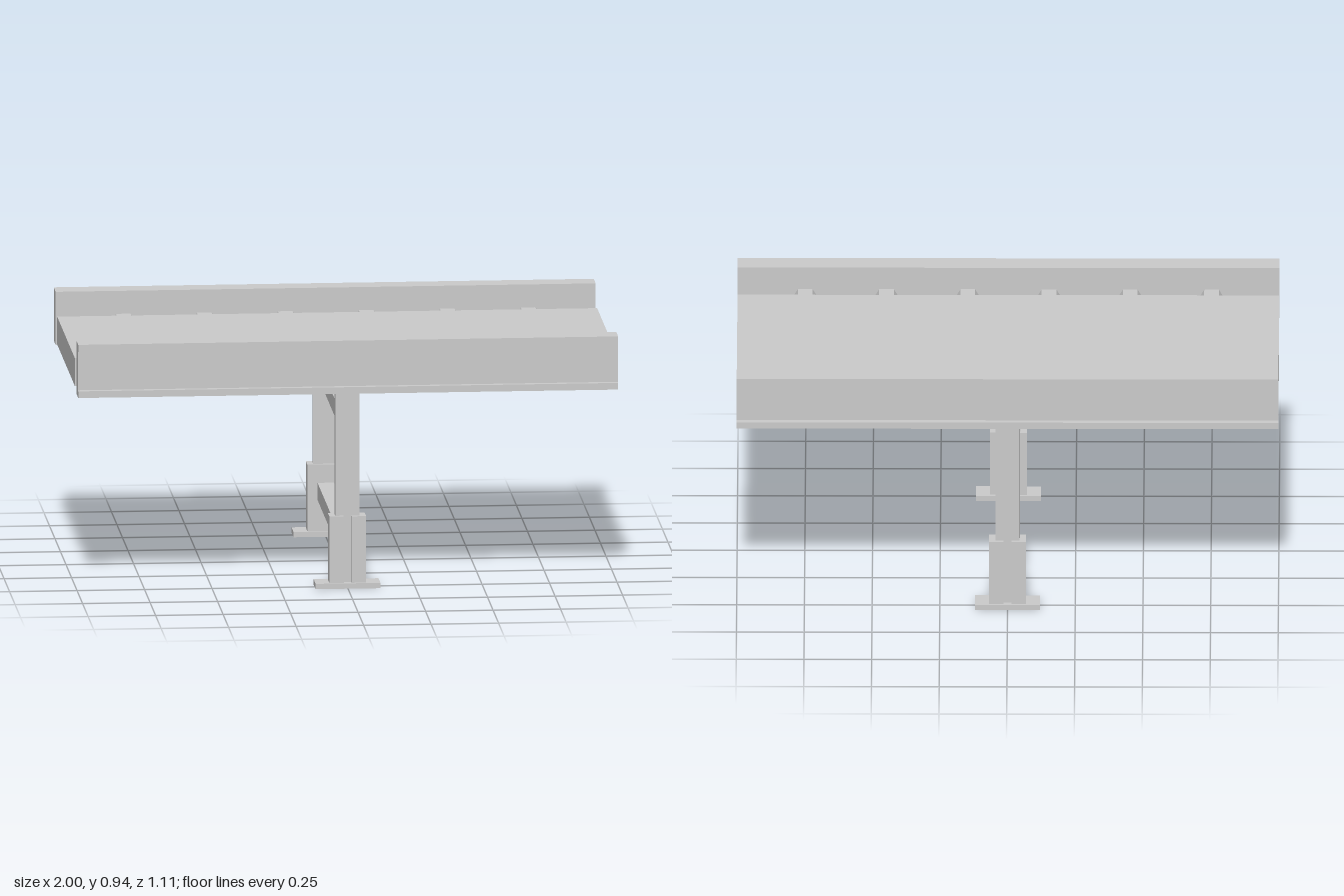
import * as THREE from 'three';

export function createModel() {
  const model = new THREE.Group();
  const material = new THREE.MeshStandardMaterial({ color: 0xcccccc, flatShading: true });

  function add(name, geometry, parent = model) {
    const mesh = new THREE.Mesh(geometry, material);
    mesh.name = name;
    parent.add(mesh);
    return mesh;
  }

  // Box given by its lower and upper corners
  function block(name, [x0, y0, z0], [x1, y1, z1], parent) {
    const mesh = add(name, new THREE.BoxGeometry(x1 - x0, y1 - y0, z1 - z0), parent);
    mesh.position.set((x0 + x1) / 2, (y0 + y1) / 2, (z0 + z1) / 2);
    return mesh;
  }

  function extrude(points, depth) {
    const shape = new THREE.Shape(points.map(([x, y]) => new THREE.Vector2(x, y)));
    return new THREE.ExtrudeGeometry(shape, { depth, bevelEnabled: false });
  }

  // Conveyor bed
  block('belt', [-1, 0.75, -0.4], [1, 0.855, 0.4]);

  // Hexagonal roller shafts running through the belt into the rails
  for (let i = 0; i < 6; i++) {
    const geometry = new THREE.CylinderGeometry(0.054, 0.054, 0.96, 6);
    geometry.rotateY(Math.PI / 6).rotateX(Math.PI / 2);
    // Keep two corners level so the top and bottom are flats
    const p = geometry.attributes.position;
    let top = 0;
    for (let k = 0; k < p.count; k++) top = Math.max(top, p.getY(k));
    if (top > 0.05) geometry.rotateZ(Math.PI / 6);
    add('rollerShaft', geometry).position.set(-0.75 + i * 0.3, 0.802, 0);
  }

  // Each side: rail, post, slotted sleeve and foot; the back is the front turned round
  for (const angle of [0, Math.PI]) {
    const side = new THREE.Group();
    side.name = angle ? 'backSide' : 'frontSide';
    side.rotation.y = angle;
    model.add(side);

    // Rail section in (z, y) with outward lips
    const rail = extrude([
      [0.467, 0.735], [0.555, 0.735], [0.555, 0.76], [0.533, 0.76],
      [0.533, 0.908], [0.555, 0.908], [0.555, 0.935], [0.467, 0.935],
    ], 2);
    rail.rotateY(-Math.PI / 2).translate(1, 0, 0);
    add('sideRail', rail, side);

    block('legPost', [-0.045, 0.02, 0.48], [0.045, 0.737, 0.52], side);

    // Sleeve section in (x, -z), open by a slot on the outside
    const sleeve = extrude([
      [-0.068, -0.467], [-0.068, -0.535], [-0.015, -0.535], [-0.015, -0.52],
      [-0.045, -0.52], [-0.045, -0.48], [0.045, -0.48], [0.045, -0.52],
      [0.015, -0.52], [0.015, -0.535], [0.068, -0.535], [0.068, -0.467],
    ], 0.25);
    sleeve.rotateX(-Math.PI / 2).translate(0, 0.02, 0);
    add('legSleeve', sleeve, side);

    block('footPlate', [-0.12, 0, 0.455], [0.12, 0.02, 0.545], side);
  }

  // Cross braces between the legs
  block('upperBrace', [-0.03, 0.603, -0.48], [0.03, 0.668, 0.48]);
  block('lowerBrace', [-0.03, 0.136, -0.467], [0.03, 0.201, 0.467]);

  return model;
}
